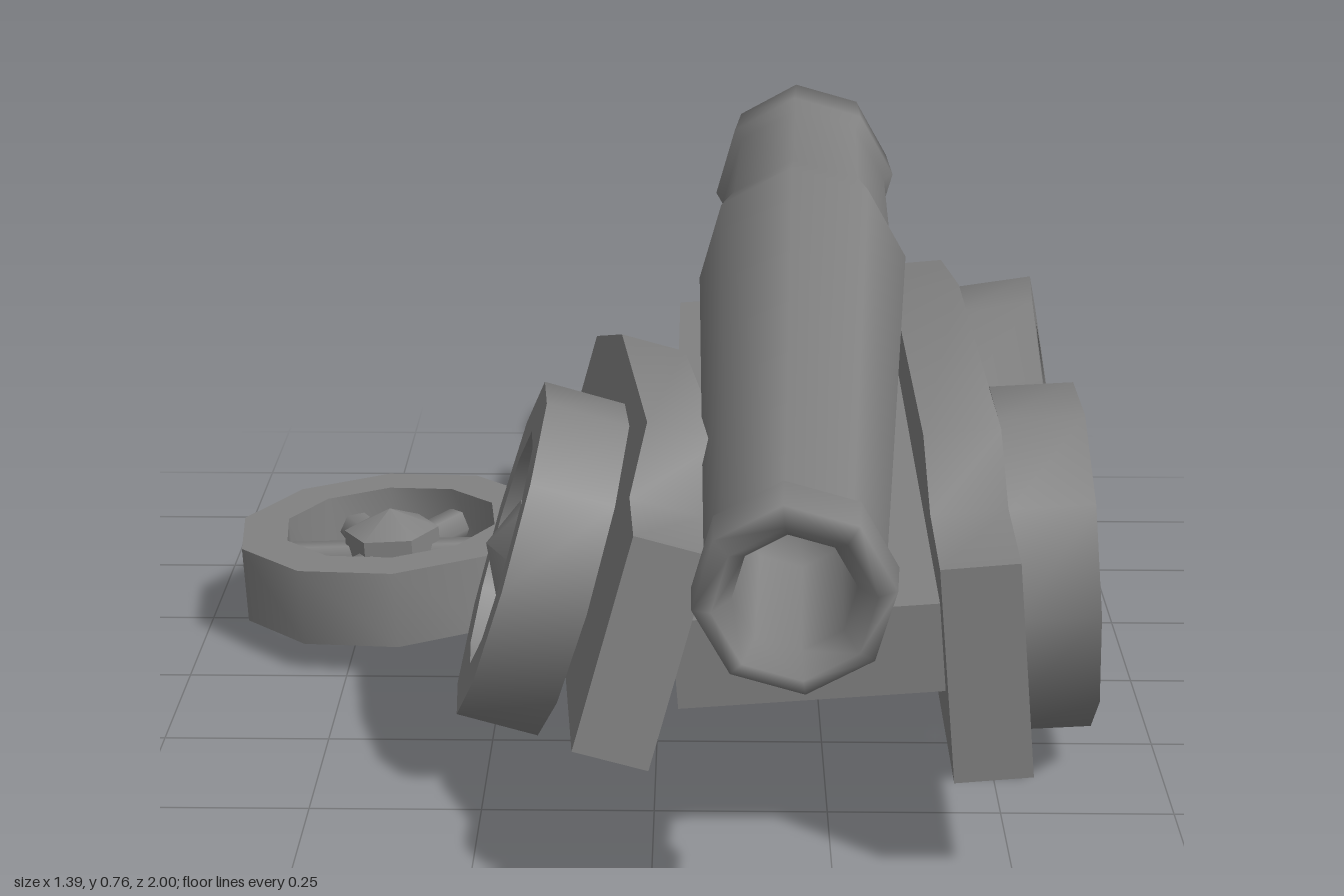
import * as THREE from 'three';
import { toCreasedNormals } from 'three/addons/utils/BufferGeometryUtils.js';

const material = new THREE.MeshStandardMaterial({ color: 0x828282 });

function addMesh(parent, name, geometry) {
  const mesh = new THREE.Mesh(geometry, material);
  mesh.name = name;
  parent.add(mesh);
  return mesh;
}

function place(object, position, rotation) {
  object.position.set(...position);
  object.rotation.set(...rotation, 'YXZ');
  return object;
}

function lathe(points, sides, phase = 0) {
  return new THREE.LatheGeometry(points.map(p => new THREE.Vector2(...p)), sides, phase);
}

// Rod between two points
function addRod(parent, name, from, to, radius) {
  const a = new THREE.Vector3(...from), b = new THREE.Vector3(...to);
  const dir = b.clone().sub(a);
  const rod = addMesh(parent, name, new THREE.CylinderGeometry(radius, radius, dir.length(), 6));
  rod.position.copy(a).add(b).multiplyScalar(0.5);
  rod.quaternion.setFromUnitVectors(new THREE.Vector3(0, 1, 0), dir.normalize());
}

// Ten-sided wheel whose axle runs along x
function createWheel(name) {
  const wheel = new THREE.Group();
  wheel.name = name;
  const w = 0.062;
  const rim = lathe([[0.178, -w], [0.255, -w], [0.255, w], [0.178, w], [0.178, -w]], 10);
  addMesh(wheel, 'rim', toCreasedNormals(rim.rotateZ(Math.PI / 2), 0.8));
  const hub = lathe([[0, -0.085], [0.078, -0.05], [0.078, 0.05], [0, 0.085]], 6);
  addMesh(wheel, 'hub', toCreasedNormals(hub.rotateZ(Math.PI / 2), 0.8));
  for (let i = 0; i < 6; i++) {
    const a = i * Math.PI / 3 + 0.05;
    const c = Math.cos(a), s = Math.sin(a);
    addRod(wheel, 'spoke', [0, s * 0.05, c * 0.05], [0, s * 0.2, c * 0.2], 0.03);
  }
  return wheel;
}

// Stepped side plank, standing on its own y = 0
function createCheek(name) {
  const profile = [[0.74, 0], [0.74, 0.31], [0.55, 0.32], [0.5, 0.42], [-0.3, 0.405], [-0.81, 0.31], [-0.81, 0]];
  const shape = new THREE.Shape(profile.map(([z, y]) => new THREE.Vector2(-z, y)));
  const geometry = new THREE.ExtrudeGeometry(shape, { depth: 0.108, bevelEnabled: false });
  geometry.translate(0, 0, -0.054).rotateY(Math.PI / 2);
  const cheek = new THREE.Group();
  cheek.name = name;
  addMesh(cheek, 'plank', toCreasedNormals(geometry, 1.2));
  return cheek;
}

export function createModel() {
  const model = new THREE.Group();
  model.name = 'brokenCannon';

  // Eight-sided barrel with swollen breech, flared muzzle and open bore
  const barrelGeometry = lathe([
    [0, -1], [0.148, -0.97], [0.158, -0.84], [0.142, -0.815],
    [0.146, -0.49], [0.17, -0.36], [0.118, 0.88], [0.133, 0.91], [0.13, 0.985],
    [0.105, 0.998], [0.08, 0.96], [0.078, 0.7], [0, 0.7],
  ], 8, 0.12);
  const barrel = addMesh(model, 'barrel', barrelGeometry.rotateX(Math.PI / 2));
  place(barrel, [0.217, 0.567, 0], [0.051, -0.034, 0]);

  // Side cheeks: the left one nearly upright, the right one collapsed
  model.add(place(createCheek('leftCheek'), [0.465, 0.164, 0], [0, 0, 0.09]));
  model.add(place(createCheek('rightCheek'), [-0.104, 0.11, 0.018], [-0.113, 0.066, -0.28]));

  // Bed between the cheeks, sloping down to the front
  const bed = addMesh(model, 'bed', new THREE.BoxGeometry(0.37, 0.13, 1.45));
  place(bed, [0.215, 0.335, -0.055], [0.028, 0, 0.08]);

  // Axles slung under the bed, the rear one bare where its wheel came off
  addRod(model, 'rearAxle', [-0.2, 0.21, -0.435], [0.43, 0.265, -0.49], 0.02);
  addRod(model, 'frontAxle', [-0.17, 0.225, 0.275], [0.43, 0.275, 0.235], 0.02);

  // Wheels: three attached, one fallen flat
  const wheels = [
    ['leftFrontWheel', [0.568, 0.313, 0.267], [0, 0, 0.06]],
    ['leftRearWheel', [0.583, 0.308, -0.332], [0, -0.07, 0.17]],
    ['rightFrontWheel', [-0.171, 0.31, 0.277], [-0.1, 0.068, -0.29]],
    ['fallenWheel', [-0.444, 0.118, -0.24], [0.02, -Math.PI / 6, Math.PI / 2 + 0.05]],
  ];
  for (const [name, position, rotation] of wheels) {
    model.add(place(createWheel(name), position, rotation));
  }
  return model;
}
